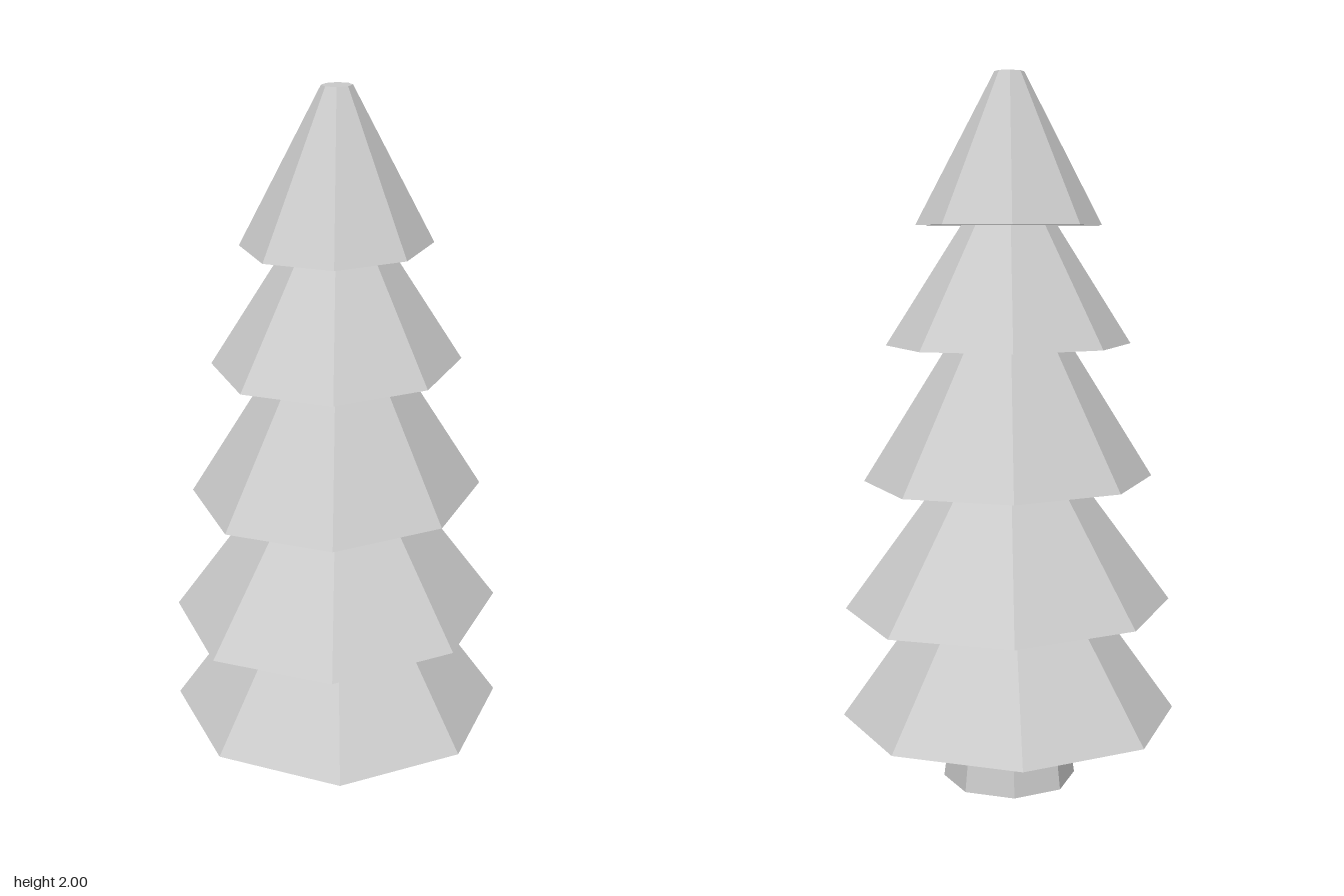
import * as THREE from 'three';

const SIDES = 8;

// Eight-sided skin turned from a bottom-to-top profile of [radius, height]
function turned(name, profile, material) {
  const points = profile.map(([r, y]) => new THREE.Vector2(r, y));
  const mesh = new THREE.Mesh(new THREE.LatheGeometry(points, SIDES), material);
  mesh.name = name;
  return mesh;
}

export function createModel() {
  const group = new THREE.Group();
  group.name = 'tree';
  const material = new THREE.MeshStandardMaterial({
    color: 0xcccccc, flatShading: true, side: THREE.DoubleSide,
  });

  // Trunk: open tube that rises inside the hollow skirt
  group.add(turned('trunk', [[0.19, 0], [0.165, 0.19], [0.125, 0.5]], material));

  // Lowest branches: hollow skirt, open underneath
  group.add(turned('lowestBranches', [[0.478, 0.19], [0.25, 0.51]], material));

  // Upper branches: stacked tiers, each [inner radius below, rim radius, rim height]
  const tiers = [
    [0.22, 0.487, 0.51],
    [0.207, 0.428, 0.875],
    [0.18, 0.36, 1.255],
    [0.14, 0.272, 1.585],
  ];
  const profile = tiers.flatMap(([inner, rim, y]) => [[inner, y], [rim, y]]);
  profile.push([0.043, 2], [0, 2]); // blunt tip
  const crown = turned('upperBranches', profile, material);
  crown.scale.x = 0.915; // slightly narrower across than deep
  group.add(crown);

  return group;
}
